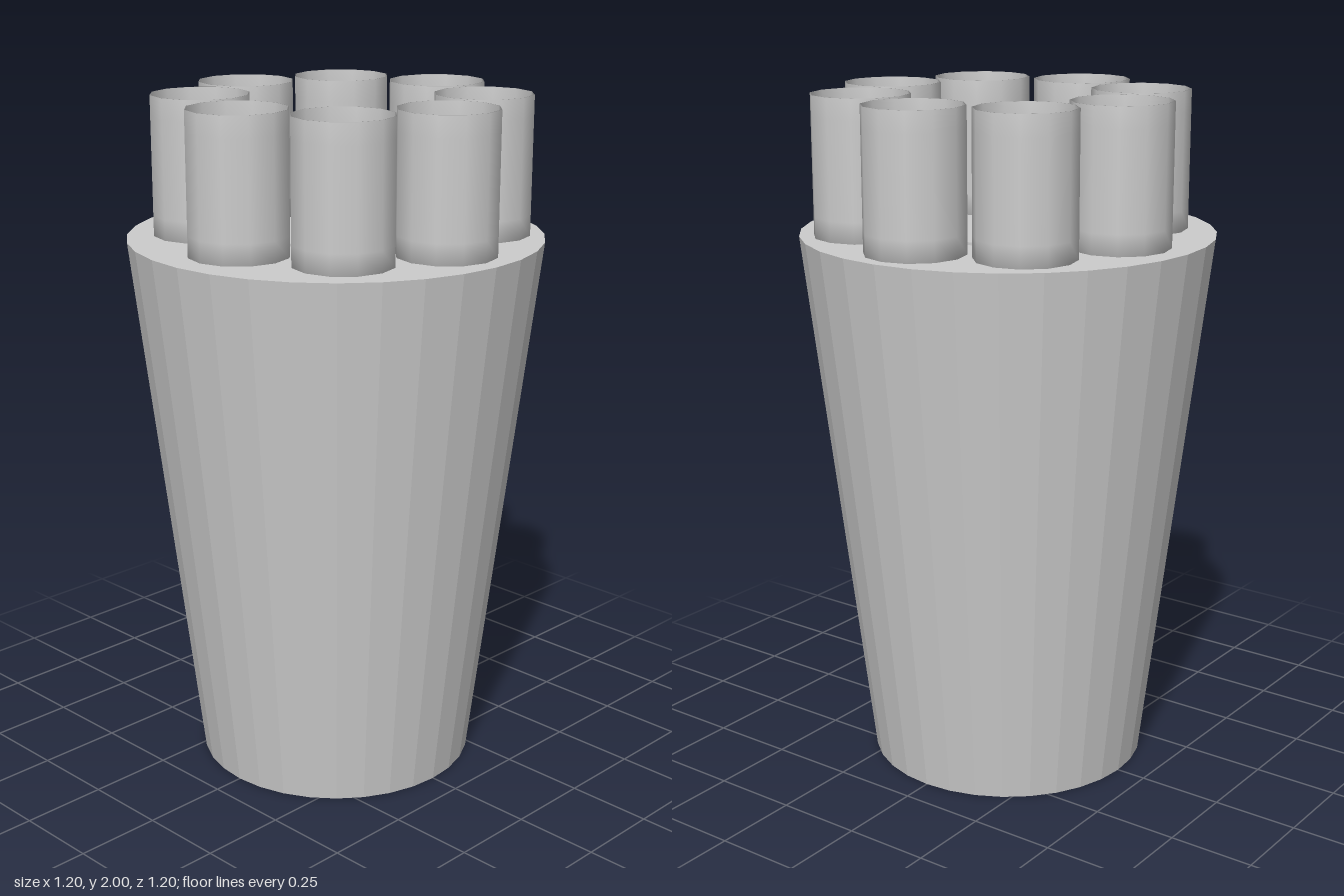
import * as THREE from 'three';

export function createModel() {
  const model = new THREE.Group();
  model.name = 'holder';
  const grey = new THREE.MeshStandardMaterial({ color: 0xcccccc, side: THREE.DoubleSide });
  grey.name = 'grey';
  const greyFaceted = new THREE.MeshStandardMaterial({ color: 0xcccccc, side: THREE.DoubleSide, flatShading: true });
  greyFaceted.name = 'grey faceted';

  const add = (parent, geometry, name, x, y, z, material = grey) => {
    const mesh = new THREE.Mesh(geometry, material);
    mesh.name = name;
    mesh.position.set(x, y, z);
    parent.add(mesh);
    return mesh;
  };

  // Tapered body, open underneath
  add(model, new THREE.CylinderGeometry(0.6, 0.41, 1.6, 32, 1, true), 'body', 0, 0.8, 0, greyFaceted);
  add(model, new THREE.CircleGeometry(0.6, 32).rotateX(-Math.PI / 2), 'bodyTop', 0, 1.6, 0);

  // Ring of cups around a central disc, slightly off the body's axis
  const ring = new THREE.Group();
  ring.name = 'cupRing';
  ring.position.set(0.005, 1.6, -0.02);
  model.add(ring);
  add(ring, new THREE.CylinderGeometry(0.229, 0.229, 0.008, 48), 'centreDisc', 0, 0.004, 0);

  // Thin-walled cup profile: outer wall, rim, inner wall, floor
  const profile = [
    [0.12, 0], [0.143, 0], [0.143, 0.06], [0.143, 0.34], [0.143, 0.4],
    [0.14, 0.4], [0.14, 0.34], [0.14, 0.03], [0.135, 0.01], [0.125, 0.01], [0, 0.01],
  ].map(([r, y]) => new THREE.Vector2(r, y));
  const cup = new THREE.LatheGeometry(profile, 12);

  for (let i = 0; i < 8; i++) {
    const a = (i * Math.PI) / 4;
    add(ring, cup, `cup${i + 1}`, 0.4 * Math.sin(a), 0, 0.4 * Math.cos(a));
  }
  return model;
}
